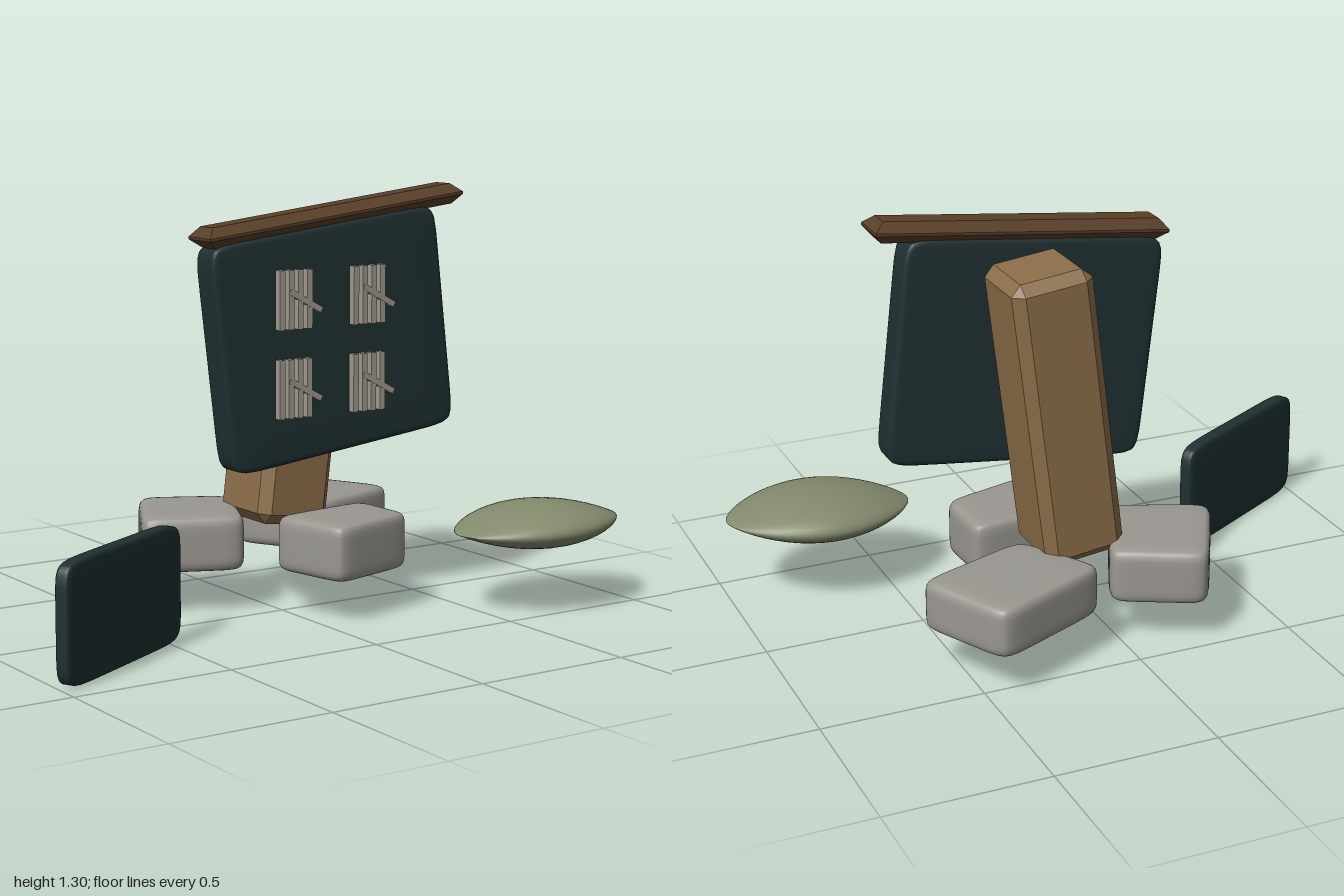
import * as THREE from 'three';
import { mergeVertices } from 'three/addons/utils/BufferGeometryUtils.js';
import { ConvexGeometry } from 'three/addons/geometries/ConvexGeometry.js';

const mat = (name, color) => {
  const m = new THREE.MeshStandardMaterial({ color });
  m.name = name;
  return m;
};

// Softened cube: a superellipsoid (higher n = sharper), each point then placed by a rule
function softBox(n, place) {
  const geo = new THREE.BoxGeometry(2, 2, 2, 14, 14, 14);
  geo.deleteAttribute('uv');
  geo.deleteAttribute('normal');
  const merged = mergeVertices(geo, 1e-4);
  const pos = merged.attributes.position;
  const p = new THREE.Vector3();
  for (let i = 0; i < pos.count; i++) {
    p.fromBufferAttribute(pos, i);
    // crowd the grid towards the edges
    p.set(...p.toArray().map((t) => Math.sin(t * Math.PI / 2)));
    const len = Math.pow(Math.abs(p.x) ** n + Math.abs(p.y) ** n + Math.abs(p.z) ** n, 1 / n);
    place(p.divideScalar(len));
    pos.setXYZ(i, p.x, p.y, p.z);
  }
  merged.computeVertexNormals();
  return merged;
}

// Soft box of a given full size
const softSlab = (w, h, d, n) => softBox(n, (p) => p.multiply(new THREE.Vector3(w / 2, h / 2, d / 2)));

// Soft stone over four plan corners (x, z): back left, back right, front right, front left
function stoneGeometry(corners, y0, y1) {
  const cx = corners.reduce((s, c) => s + c[0], 0) / 4;
  const cz = corners.reduce((s, c) => s + c[1], 0) / 4;
  const [a, b, c, d] = corners.map(([x, z]) => [cx + (x - cx) * 1.06, cz + (z - cz) * 1.06]);
  return softBox(8, (p) => {
    const u = (p.x + 1) / 2, v = (p.z + 1) / 2;
    const mix = (k) => (a[k] * (1 - u) + b[k] * u) * (1 - v) + (d[k] * (1 - u) + c[k] * u) * v;
    p.set(mix(0), y0 + (y1 - y0) * (p.y + 1) / 2, mix(1));
  });
}

const signs = [-1, 1];

// Box with every edge cut off by k
function chamferBox(w, h, d, k) {
  const x = w / 2, y = h / 2, z = d / 2, pts = [];
  for (const i of signs) for (const j of signs) for (const l of signs) {
    pts.push(new THREE.Vector3(i * x, j * (y - k), l * (z - k)));
    pts.push(new THREE.Vector3(i * (x - k), j * y, l * (z - k)));
    pts.push(new THREE.Vector3(i * (x - k), j * (y - k), l * z));
  }
  return new ConvexGeometry(pts);
}

// Beam whose sides and ends come to a ridge at mid height
function ridgedBeam(w, h, d, k) {
  const pts = [];
  for (const i of signs) for (const l of signs) {
    for (const e of signs) {
      pts.push(new THREE.Vector3(i * w / 2, e * 0.004, l * d / 2));
      pts.push(new THREE.Vector3(i * (w / 2 - k), e * h / 2, l * (d / 2 - k)));
    }
  }
  return new ConvexGeometry(pts);
}

export function createModel() {
  const slate = mat('dark slate', 0x203032);
  const wood = mat('light wood', 0x8c6e49);
  const darkWood = mat('dark wood', 0x5a3f28);
  const rock = mat('grey stone', 0x9a9791);
  const chalk = mat('chalk', 0xa09a90);
  const moss = mat('moss green', 0x838a6c);

  const model = new THREE.Group();
  model.name = 'tallySign';
  const add = (name, geo, material, x = 0, y = 0, z = 0, parent = model) => {
    const mesh = new THREE.Mesh(geo, material);
    mesh.name = name;
    mesh.position.set(x, y, z);
    parent.add(mesh);
    return mesh;
  };

  // Leaning post
  add('post', chamferBox(0.255, 0.91, 0.265, 0.032), wood, 0.13, 0.708, -0.168).rotation.z = -0.12;

  // Board and its capping beam, tilted the other way
  add('board', softSlab(0.83, 0.7, 0.105, 16), slate, 0.162, 0.848, 0.012).rotation.z = 0.12;
  add('capBeam', ridgedBeam(0.935, 0.064, 0.125, 0.028), darkWood, 0.165, 1.223, 0.012).rotation.z = 0.116;

  // Four tallies: four strokes and a slash each
  const stroke = new THREE.BoxGeometry(0.019, 0.18, 0.025);
  const slash = new THREE.BoxGeometry(0.13, 0.018, 0.025);
  for (const y of [0.98, 0.71]) for (const x of [-0.012, 0.258]) {
    const tally = new THREE.Group();
    tally.name = 'tally';
    tally.position.set(x, y, 0.084);
    model.add(tally);
    for (let i = 0; i < 4; i++) add('stroke', stroke, chalk, (i - 1.5) * 0.033, 0, 0, tally);
    add('slash', slash, chalk, 0.035, -0.005, 0.002, tally).rotation.z = -0.5;
  }

  // Stones around the foot of the post
  add('frontStone', stoneGeometry([[-0.02, 0], [0.33, -0.04], [0.34, 0.18], [0.04, 0.265]], 0.13, 0.31), rock);
  add('backRightStone', stoneGeometry([[-0.22, -0.49], [0.03, -0.36], [-0.11, -0.05], [-0.39, -0.17]], 0.13, 0.31), rock);
  add('backLeftStone', stoneGeometry([[0.09, -0.4], [0.46, -0.57], [0.6, -0.28], [0.24, -0.15]], 0.13, 0.295), rock);

  // Loose slate standing to one side
  add('looseSlate', softSlab(0.625, 0.355, 0.05, 9), slate, -0.7275, 0.1825, 0.2775).rotation.y = 0.517;

  // Flat pebble with thin pointed ends
  const pebble = new THREE.SphereGeometry(1, 40, 24);
  pebble.rotateZ(Math.PI / 2);
  const pos = pebble.attributes.position;
  for (let i = 0; i < pos.count; i++) {
    const u = pos.getX(i), taper = Math.sqrt(Math.max(0, 1 - u * u));
    pos.setXYZ(i, u * 0.295, pos.getY(i) * 0.068 * taper, pos.getZ(i) * 0.203 * (0.7 + 0.3 * taper));
  }
  pebble.computeVertexNormals();
  add('pebble', pebble, moss, 0.705, 0.264, 0.368).rotation.z = 0.03;

  return model;
}
